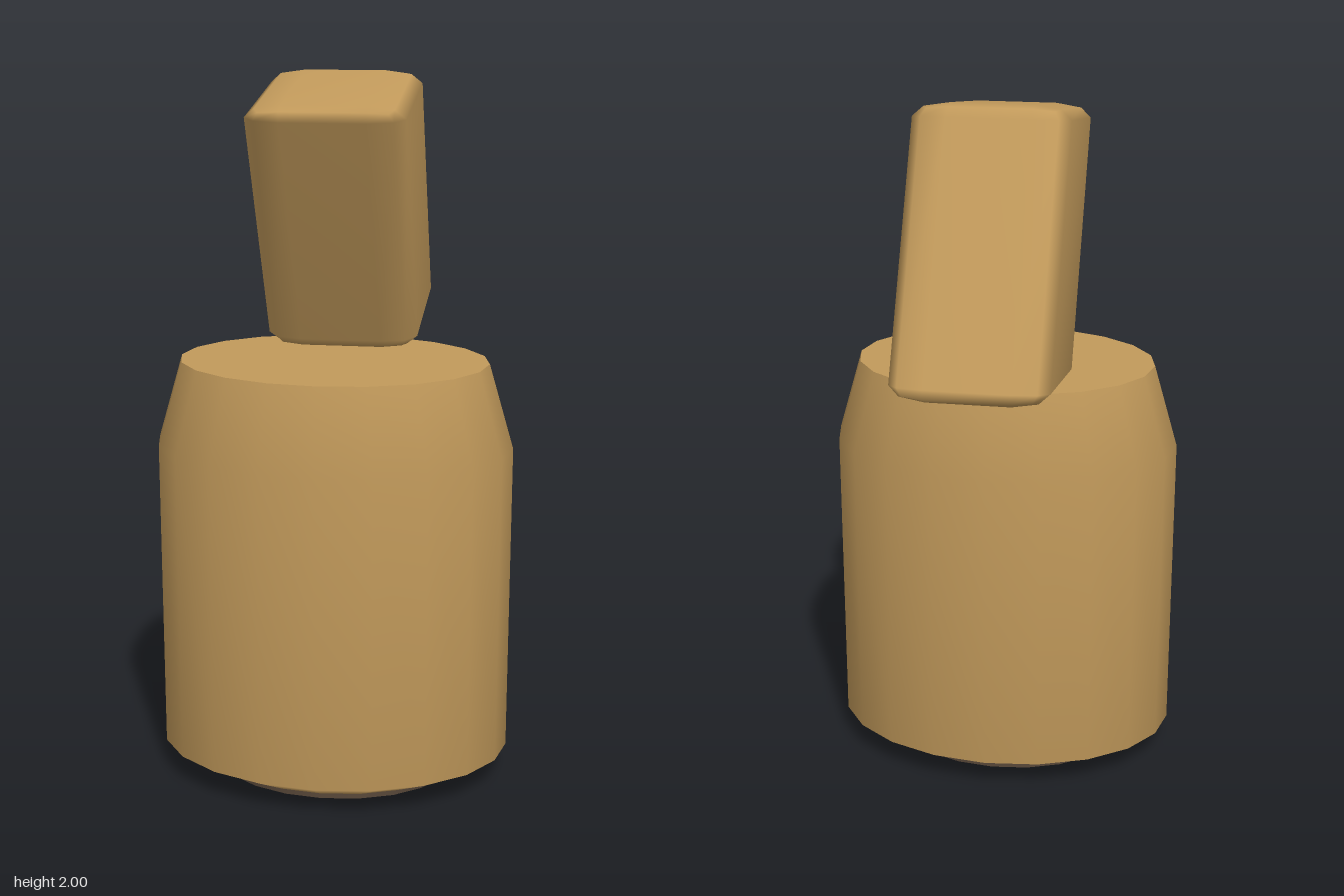
import * as THREE from 'three';
import { mergeVertices } from 'three/addons/utils/BufferGeometryUtils.js';
import { RoundedBoxGeometry } from 'three/addons/geometries/RoundedBoxGeometry.js';

const SIDES = 20;
const DEPTH = 0.743; // oval depth relative to width
const BODY_Z = 0.13;

const tan = new THREE.MeshStandardMaterial({ color: 0xc29a5b });
tan.name = 'tan';
const darkBrown = new THREE.MeshStandardMaterial({ color: 0x7a6450 });
darkBrown.name = 'darkBrown';

function addMesh(group, name, geometry, material) {
  const mesh = new THREE.Mesh(geometry, material);
  mesh.name = name;
  group.add(mesh);
}

// Oval shell turned from [radius, height] pairs, bottom to top
function ovalShell(points) {
  const geo = new THREE.LatheGeometry(points.map(([r, y]) => new THREE.Vector2(r, y)), SIDES);
  return geo.scale(1, 1, DEPTH).translate(0, 0, BODY_Z);
}

// Flat oval lid, facing up (1) or down (-1)
function ovalCap(radius, y, facing) {
  const geo = new THREE.CircleGeometry(radius, SIDES);
  return geo.rotateX(-facing * Math.PI / 2).scale(1, 1, DEPTH).translate(0, y, BODY_Z);
}

// Soft-edged slanted block: a rounded cube with its bevels resized per axis, then sheared
function slantedBlock() {
  const geo = new RoundedBoxGeometry(2, 2, 2, 1, 0.4);
  geo.deleteAttribute('uv');
  geo.deleteAttribute('normal');
  const pos = geo.attributes.position;
  const bevel = (v, size) => {
    const t = Math.abs(v);
    const m = t > 0.6 ? 1 - size + (t - 0.6) / 0.4 * size : t / 0.6 * (1 - size);
    return Math.sign(v) * m;
  };
  for (let i = 0; i < pos.count; i++) {
    const u = bevel(pos.getX(i), 0.47);
    const v = bevel(pos.getY(i), 0.1);
    const w = bevel(pos.getZ(i), 0.2);
    pos.setXYZ(i, 0.215 * u, 1.61 + 0.358 * v - 0.04 * w, -0.08 + 0.1875 * v + 0.255 * w);
  }
  const smooth = mergeVertices(geo, 1e-4);
  smooth.computeVertexNormals();
  return smooth;
}

export function createModel() {
  const model = new THREE.Group();
  model.name = 'model';

  // Oval body with a tapered shoulder and chamfered bottom
  addMesh(model, 'body', ovalShell([[0.355, 0.02], [0.505, 0.085], [0.505, 0.98], [0.435, 1.22]]), tan);
  addMesh(model, 'bodyTop', ovalCap(0.435, 1.22, 1), tan);

  // Thin dark foot under the body
  addMesh(model, 'footRim', ovalShell([[0.34, 0], [0.355, 0.02]]), darkBrown);
  addMesh(model, 'footBottom', ovalCap(0.34, 0, -1), darkBrown);

  // Leaning block on top
  addMesh(model, 'head', slantedBlock(), tan);

  return model;
}
